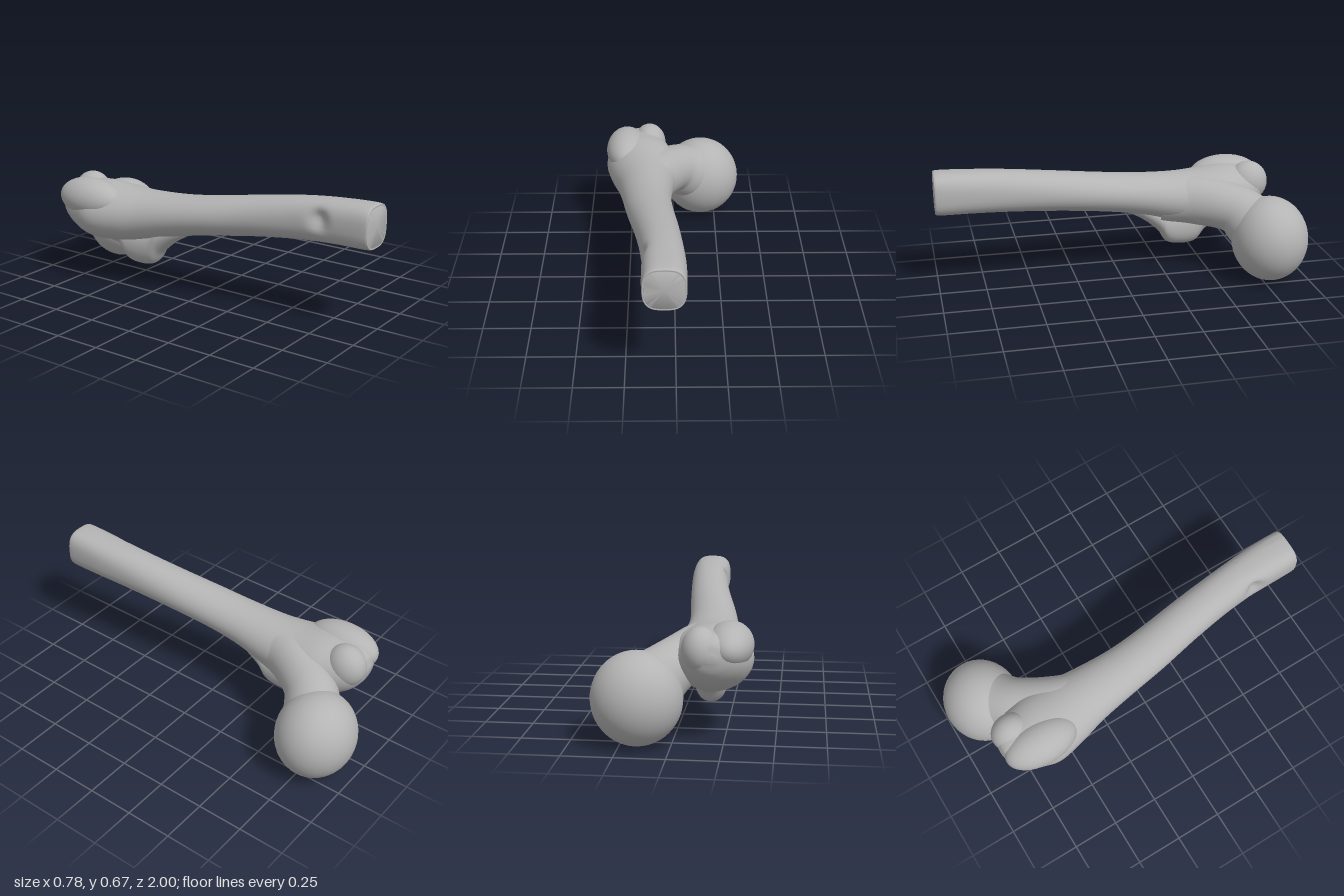
import * as THREE from 'three';
import { toCreasedNormals } from 'three/addons/utils/BufferGeometryUtils.js';

const bone = new THREE.MeshStandardMaterial({ color: 0xb4b4b4 });
bone.name = 'bone grey';

const UP = new THREE.Vector3(0, 1, 0);
const SIDES = 40;

// Lofts superellipse rings [x, y, z, radiusAcross, radiusUp, squareness] along a smooth path.
function loft(rings, perSpan, fixedDir, deform) {
  const path = new THREE.CatmullRomCurve3(rings.map(r => new THREE.Vector3(r[0], r[1], r[2])), false, 'catmullrom');
  const size = new THREE.CatmullRomCurve3(rings.map(r => new THREE.Vector3(r[3], r[4], r[5] ?? 2)), false, 'catmullrom');
  const n = (rings.length - 1) * perSpan;
  const pos = [], idx = [];
  for (let i = 0; i <= n; i++) {
    const c = path.getPoint(i / n), s = size.getPoint(i / n);
    const t = fixedDir ?? path.getTangent(i / n);
    const side = new THREE.Vector3().crossVectors(UP, t).normalize();
    const vert = new THREE.Vector3().crossVectors(t, side);
    for (let j = 0; j < SIDES; j++) {
      const a = (j / SIDES) * Math.PI * 2;
      const bend = v => Math.sign(v) * Math.abs(v) ** (2 / s.z);
      const p = c.clone()
        .addScaledVector(side, s.x * bend(Math.cos(a)))
        .addScaledVector(vert, s.y * bend(Math.sin(a)));
      if (deform) deform(p);
      pos.push(p.x, p.y, p.z);
    }
  }
  const first = pos.length / 3, last = first + 1;
  pos.push(...rings[0].slice(0, 3), ...rings[rings.length - 1].slice(0, 3));
  for (let j = 0; j < SIDES; j++) {
    const k = (j + 1) % SIDES;
    for (let i = 0; i < n; i++) {
      const a = i * SIDES + j, b = i * SIDES + k;
      idx.push(a, b, b + SIDES, a, b + SIDES, a + SIDES);
    }
    idx.push(first, k, j, last, n * SIDES + j, n * SIDES + k);
  }
  const g = new THREE.BufferGeometry();
  g.setAttribute('position', new THREE.Float32BufferAttribute(pos, 3));
  g.setIndex(idx);
  return toCreasedNormals(g, 0.8);
}

// Ring across z from its left, right, bottom and top limits.
const section = ([z, x0, x1, y0, y1, n = 2]) =>
  [(x0 + x1) / 2, (y0 + y1) / 2, z, (x1 - x0) / 2, (y1 - y0) / 2, n];

function ellipsoid(rx, ry, rz) {
  return new THREE.SphereGeometry(1, 40, 28).scale(rx, ry, rz);
}

export function createModel() {
  const model = new THREE.Group();
  model.name = 'thighBone';
  const add = (name, geometry, x = 0, y = 0, z = 0) => {
    const mesh = new THREE.Mesh(geometry, bone);
    mesh.name = name;
    mesh.position.set(x, y, z);
    model.add(mesh);
    return mesh;
  };
  const back = new THREE.Vector3(0, 0, -1);

  // Shaft widening into the upper end, with a small pit near the cut end
  const shaft = [
    [1.0, -0.15, 0.04, 0.455, 0.655, 3],
    [0.98, -0.162, 0.052, 0.442, 0.67, 2.9],
    [0.8, -0.166, 0.052, 0.437, 0.665, 2.6],
    [0.6, -0.175, 0.04, 0.425, 0.65, 2.3],
    [0.35, -0.21, 0.02, 0.4, 0.617, 2.1],
    [0.1, -0.255, -0.005, 0.365, 0.58],
    [-0.1, -0.283, -0.015, 0.33, 0.557],
    [-0.3, -0.315, -0.002, 0.28, 0.547],
    [-0.45, -0.355, 0.015, 0.25, 0.55],
    [-0.6, -0.388, 0.02, 0.24, 0.565],
    [-0.7, -0.37, -0.01, 0.255, 0.56],
    [-0.79, -0.34, -0.05, 0.31, 0.55],
    [-0.84, -0.29, -0.1, 0.37, 0.52],
    [-0.86, -0.22, -0.16, 0.43, 0.47],
  ].map(section);
  const pit = new THREE.Vector3(-0.16, 0.57, 0.73);
  add('shaft', loft(shaft, 10, back, p => {
    p.x += 0.04 * Math.exp(-((p.distanceTo(pit) / 0.045) ** 2));
  }));

  // Neck curving from the shaft into the head
  add('neck', loft([
    [-0.13, 0.4, -0.25, 0.1, 0.12],
    [-0.1, 0.395, -0.45, 0.13, 0.14],
    [0.0, 0.365, -0.63, 0.135, 0.135],
    [0.08, 0.31, -0.71, 0.15, 0.16],
    [0.165, 0.25, -0.78, 0.18, 0.19],
  ], 10));

  // Ball head
  add('head', ellipsoid(0.225, 0.233, 0.208), 0.165, 0.235, -0.792);

  // Large outer bump, made of two knobs
  add('outerKnob', ellipsoid(0.118, 0.112, 0.205), -0.272, 0.478, -0.655);
  add('rearKnob', ellipsoid(0.095, 0.115, 0.11), -0.14, 0.47, -0.758);

  // Small bump on the underside
  add('lowerKnob', loft([
    [-0.14, 0.37, -0.06, 0.03, 0.03],
    [-0.15, 0.34, -0.16, 0.07, 0.06],
    [-0.16, 0.29, -0.24, 0.08, 0.08],
    [-0.163, 0.235, -0.3, 0.08, 0.1, 2.2],
    [-0.163, 0.23, -0.44, 0.078, 0.1, 2.2],
    [-0.16, 0.29, -0.51, 0.08, 0.085],
    [-0.17, 0.31, -0.6, 0.07, 0.08],
    [-0.18, 0.34, -0.66, 0.02, 0.02],
  ], 6, back));

  return model;
}
